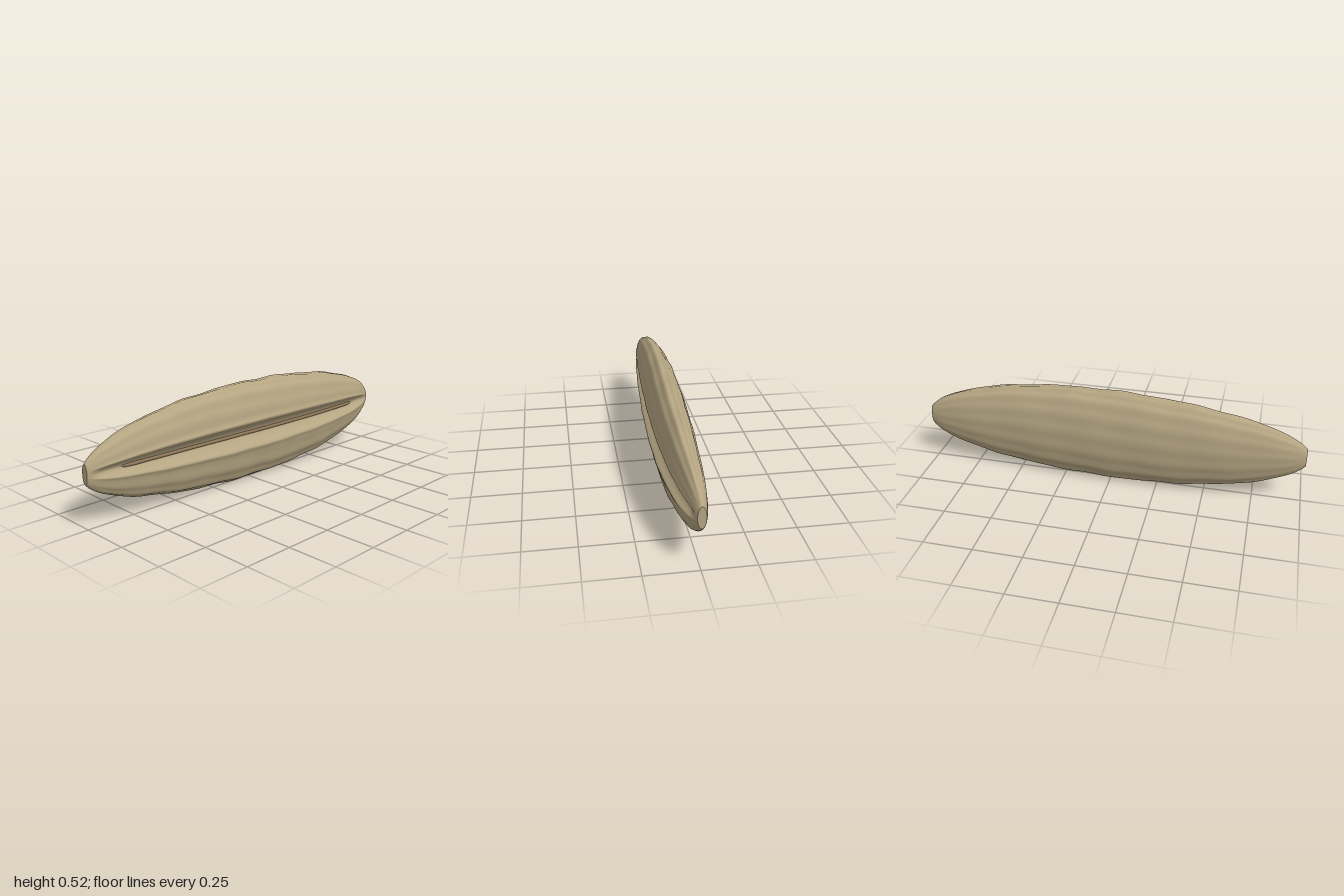
import * as THREE from 'three';

const LENGTH_STEPS = 120;
const AROUND = 192;

const HALF_HEIGHT = 0.256;
const HALF_DEPTH = 0.097;

// Point on the seed skin at station x (-1..1) and angle a (0 = front, PI/2 = top).
function skinPoint(x, a) {
  const s = Math.sqrt(1 - (x * x) / 1.041);       // lengthwise taper, blunt at the tips
  const fade = THREE.MathUtils.smoothstep(s, 0.2, 0.5);

  // Lengthwise ribs plus gentle slanting lumps
  const ribs = 0.012 * Math.sin(15 * a + 0.8 * Math.sin(3 * x));
  const lumps = 0.009 * Math.sin(19 * x + 2 * a) + 0.006 * Math.sin(31 * x - 3 * a + 1);
  const r = s * (1 + 0.03 * x) * (1 + fade * (ribs + lumps));

  const v = Math.sin(a);
  let w = Math.cos(a);
  if (w > 0) {
    // Crease down the front, with slightly raised lips
    const t = Math.abs(v) / 0.25;
    if (t < 1) w -= 0.5 * fade * (1 - Math.pow(t, 1.6));
    w += 0.07 * fade * Math.exp(-(((t - 1.05) / 0.25) ** 2));
  }
  const bow = 0.028 * x * (1 - x * x);
  return new THREE.Vector3(x, 0.262 + HALF_HEIGHT * r * v, bow + HALF_DEPTH * r * w);
}

// Closed skin from looped cross-sections
function makeSkin() {
  const pos = [];
  const index = [];
  for (let i = 0; i <= LENGTH_STEPS; i++) {
    const x = Math.sin((i / LENGTH_STEPS - 0.5) * Math.PI);
    for (let j = 0; j < AROUND; j++) {
      pos.push(...skinPoint(x, (j / AROUND) * Math.PI * 2).toArray());
    }
  }
  for (let i = 0; i < LENGTH_STEPS; i++) {
    for (let j = 0; j < AROUND; j++) {
      const k = (j + 1) % AROUND;
      const a = i * AROUND + j, b = a + AROUND;
      const c = i * AROUND + k, d = c + AROUND;
      index.push(a, b, c, b, d, c);
    }
  }
  const geo = new THREE.BufferGeometry();
  geo.setAttribute('position', new THREE.Float32BufferAttribute(pos, 3));
  geo.setIndex(index);
  geo.computeVertexNormals();
  return geo;
}

// Flat cap closing one tip (side = 1 or -1)
function makeTip(side) {
  const pos = [side, 0.262, 0];
  const index = [];
  for (let j = 0; j < AROUND; j++) {
    pos.push(...skinPoint(side, (j / AROUND) * Math.PI * 2).toArray());
    const a = 1 + j, b = 1 + ((j + 1) % AROUND);
    index.push(0, side > 0 ? b : a, side > 0 ? a : b);
  }
  const geo = new THREE.BufferGeometry();
  geo.setAttribute('position', new THREE.Float32BufferAttribute(pos, 3));
  geo.setIndex(index);
  geo.computeVertexNormals();
  return geo;
}

// Thin cord lying on the floor of the crease, its ends sunk into the skin
function makeSeam() {
  const pts = [];
  for (let i = 0; i <= 24; i++) {
    const x = -0.84 + 0.07 * i;
    const p = skinPoint(x, 0);
    p.z += i === 0 || i === 24 ? -0.012 : 0.002;
    pts.push(p);
  }
  return new THREE.TubeGeometry(new THREE.CatmullRomCurve3(pts), 120, 0.009, 10);
}

export function createModel() {
  const group = new THREE.Group();
  group.name = 'seed';
  const husk = new THREE.MeshStandardMaterial({ color: 0xb5a582 });
  const cord = new THREE.MeshStandardMaterial({ color: 0x8f7658 });

  const add = (name, geo, mat) => {
    const mesh = new THREE.Mesh(geo, mat);
    mesh.name = name;
    group.add(mesh);
  };
  add('husk', makeSkin(), husk);
  add('leftTip', makeTip(1), husk);
  add('rightTip', makeTip(-1), husk);
  add('creaseSeam', makeSeam(), cord);

  // Rest the seed on y = 0
  const box = new THREE.Box3().setFromObject(group);
  group.children.forEach((m) => m.geometry.translate(0, -box.min.y, 0));
  return group;
}
